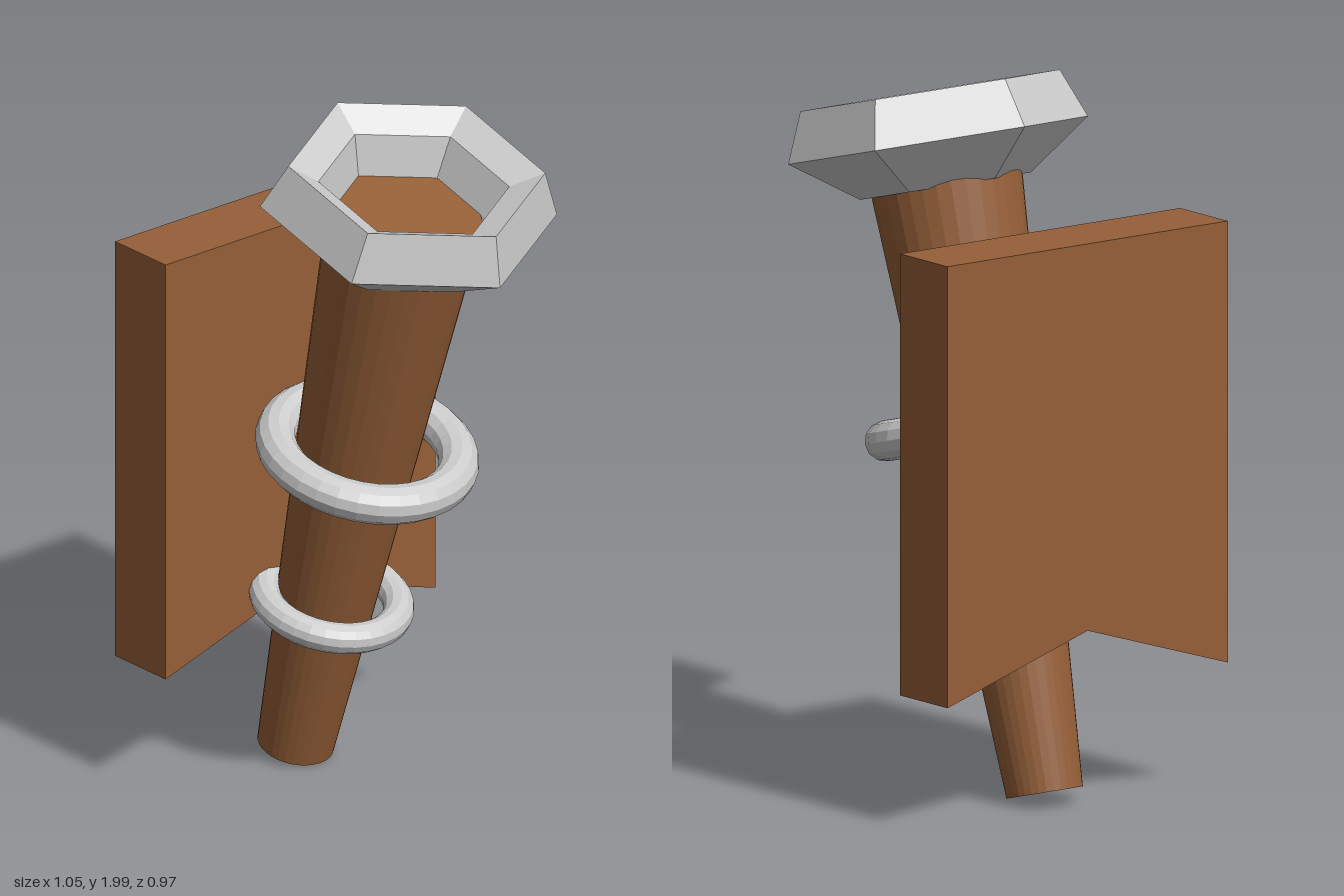
import * as THREE from 'three';

const wood = new THREE.MeshStandardMaterial({ color: 0x955f38, flatShading: true });
const metal = new THREE.MeshStandardMaterial({ color: 0xcccccc, flatShading: true });

function addPart(parent, name, geometry, material, x = 0, y = 0) {
  const mesh = new THREE.Mesh(geometry, material);
  mesh.name = name;
  mesh.position.set(x, y, 0);
  parent.add(mesh);
  return mesh;
}

export function createModel() {
  const model = new THREE.Group();
  model.name = 'wallTorch';

  // Wall plate with a shallow V cut into its lower edge
  const outline = new THREE.Shape([
    [-0.485, 0.365], [0, 0.518], [0.485, 0.365], [0.485, 1.6], [-0.485, 1.6],
  ].map(([z, y]) => new THREE.Vector2(z, y)));
  const plate = new THREE.ExtrudeGeometry(outline, { depth: 0.213, bevelEnabled: false });
  plate.rotateY(Math.PI / 2);
  addPart(model, 'wallPlate', plate, wood, -0.53);

  // The torch leans away from the plate; its local y runs along the handle
  const torch = new THREE.Group();
  torch.name = 'torch';
  torch.position.set(-0.338, 0.033, 0);
  torch.rotation.z = -Math.PI / 12;
  model.add(torch);

  // Tapered handle, its top forming the floor of the cup
  const length = 1.785;
  addPart(torch, 'handle', new THREE.CylinderGeometry(0.216, 0.106, length, 32), wood, 0, length / 2);

  // Six-sided cup: underside, flared wall, rim bevel and inner wall
  const profile = [
    [0.19, 1.68], [0.228, 1.68], [0.4, 1.807], [0.346, 1.945],
    [0.257, 1.896], [0.212, 1.785], [0.19, 1.68],
  ].map(([r, y]) => new THREE.Vector2(r, y));
  const cup = new THREE.LatheGeometry(profile, 6, Math.PI / 2);
  cup.scale(1, 1, 1.065);
  addPart(torch, 'cup', cup, metal, 0.008);

  // Holding rings, loose around the handle and set into the plate
  const rings = [
    { name: 'upperRing', radius: 0.255, tube: 0.056, x: 0.04, y: 1.018 },
    { name: 'lowerRing', radius: 0.187, tube: 0.043, x: 0.022, y: 0.503 },
  ];
  for (const { name, radius, tube, x, y } of rings) {
    const ring = new THREE.TorusGeometry(radius, tube, 12, 32);
    ring.rotateX(Math.PI / 2);
    addPart(torch, name, ring, metal, x, y);
  }

  return model;
}
